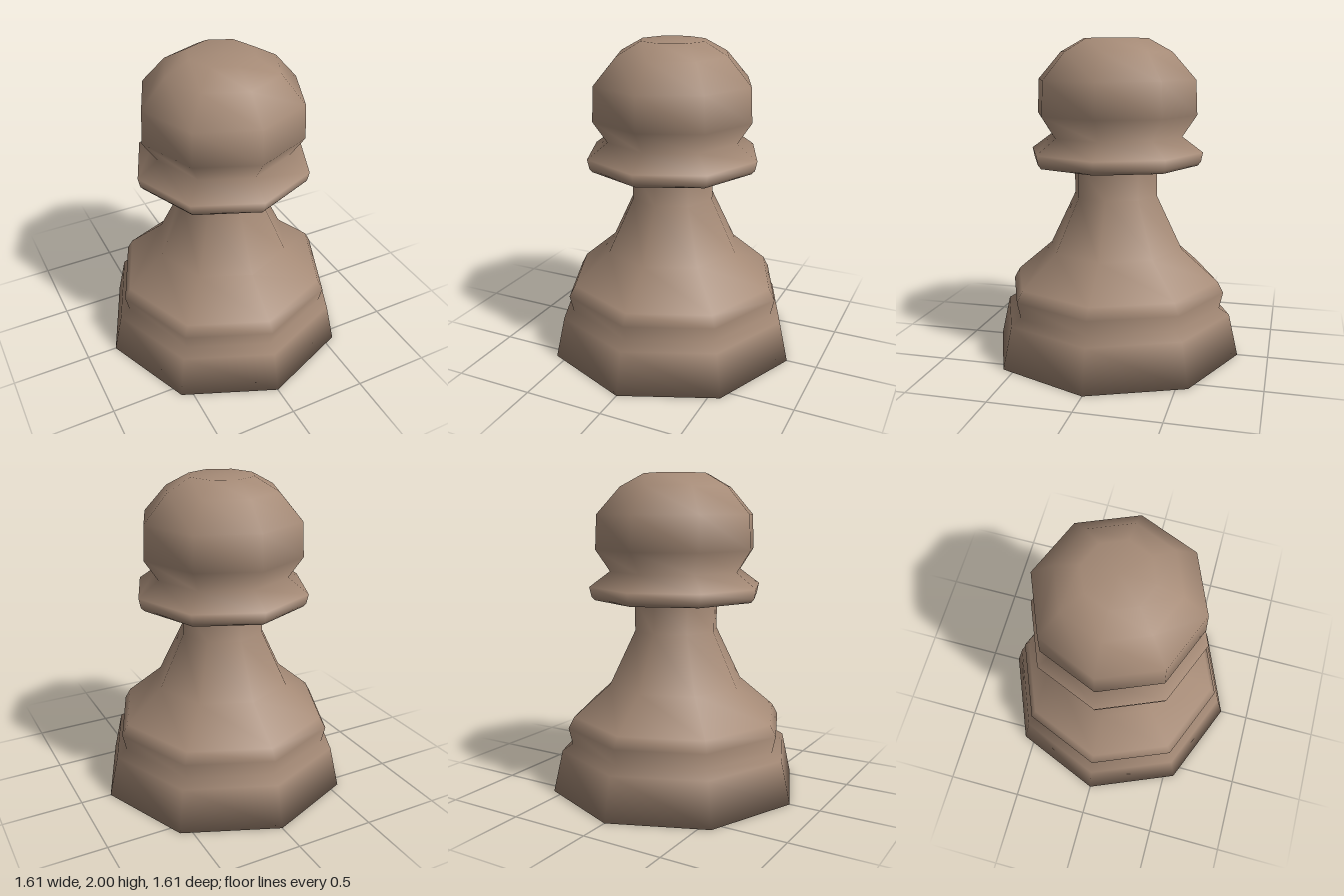
import * as THREE from 'three';

const SIDES = 8;

// Smooth-shaded eight-sided turning from [radius, height] points, bottom to top
function turned(name, profile, material) {
  const points = profile.map(([r, y]) => new THREE.Vector2(r, y));
  const mesh = new THREE.Mesh(new THREE.LatheGeometry(points, SIDES), material);
  mesh.name = name;
  return mesh;
}

export function createModel() {
  const group = new THREE.Group();
  group.name = 'chessPawn';

  const wood = new THREE.MeshStandardMaterial({ color: 0xa68b77 });
  wood.name = 'brown wood';

  // Closed foot, waist groove, flared skirt and straight neck
  group.add(turned('baseAndNeck', [
    [0, 0], [0.807, 0], [0.747, 0.265], [0.682, 0.305], [0.706, 0.41],
    [0.668, 0.48], [0.435, 0.68], [0.27, 1.02], [0.27, 1.222],
  ], wood));

  // Collar with a flat underside, pinched into the rounded head
  group.add(turned('collarAndHead', [
    [0, 1.222], [0.525, 1.222], [0.545, 1.245], [0.558, 1.305], [0.427, 1.4],
    [0.517, 1.535], [0.507, 1.75], [0.358, 1.918], [0.207, 2], [0, 2],
  ], wood));

  return group;
}
